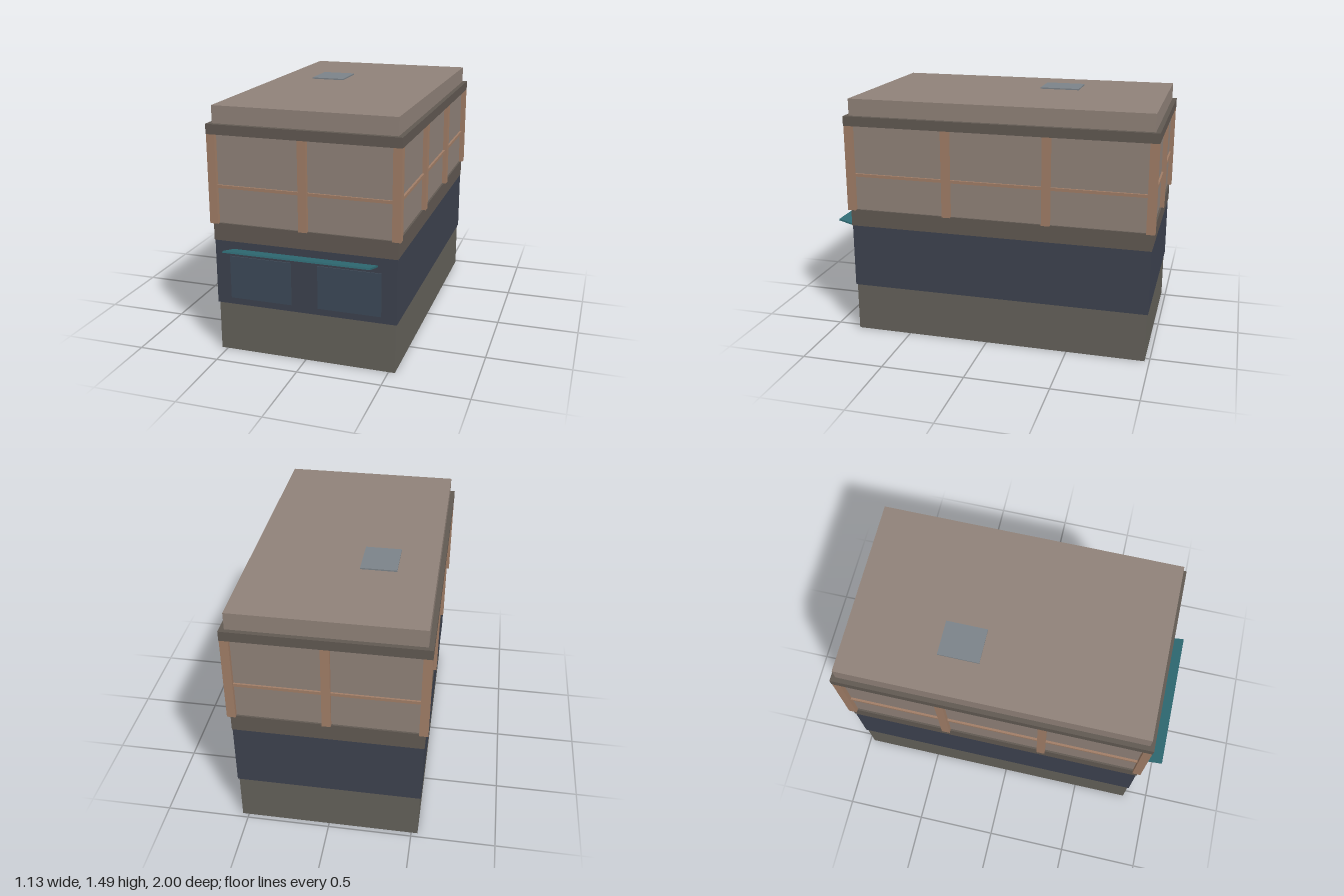
import * as THREE from 'three';

const CZ = -0.064; // depth centre of the building
const HX = 0.54, HZ = 0.908; // half width and half depth of the main walls

const mat = (color) => new THREE.MeshStandardMaterial({ color });
const mats = {
  base: mat(0x64615a),
  shop: mat(0x3d424f),
  trim: mat(0x615952),
  wall: mat(0x908279),
  timber: mat(0xa17e67),
  glass: mat(0x3d4a58),
  awning: mat(0x2f6b74),
  skylight: mat(0x7c8389),
};

function box(parent, name, material, size, pos) {
  const mesh = new THREE.Mesh(new THREE.BoxGeometry(...size), material);
  mesh.name = name;
  mesh.position.set(...pos);
  parent.add(mesh);
  return mesh;
}

export function createModel() {
  const model = new THREE.Group();
  model.name = 'building';

  // Stacked storeys: name, material, bottom, top, half width, half depth
  const layers = [
    ['base', mats.base, 0, 0.3, 0.538, HZ],
    ['shopFloor', mats.shop, 0.3, 0.692, 0.546, 0.915],
    ['belt', mats.trim, 0.692, 0.797, 0.549, 0.919],
    ['upperWall', mats.wall, 0.797, 1.32, 0.538, HZ],
    ['cornice', mats.trim, 1.32, 1.378, 0.566, 0.935],
    ['roof', mats.wall, 1.378, 1.48, 0.538, HZ],
  ];
  for (const [name, m, y0, y1, hx, hz] of layers) {
    box(model, name, m, [2 * hx, y1 - y0, 2 * hz], [0, (y0 + y1) / 2, CZ]);
  }

  // Timber frame: corner and intermediate posts
  const frame = new THREE.Group();
  frame.name = 'timberFrame';
  model.add(frame);
  const post = (x, z) => box(frame, 'post', mats.timber, [0.05, 0.525, 0.05], [x, 1.0585, z]);
  for (const side of [-1, 1]) {
    for (let i = 0; i < 4; i++) post(side * HX, CZ + HZ * (1 - (2 * i) / 3));
    post(0, CZ + side * HZ);
    // Horizontal rails between the posts
    box(frame, 'sideRail', mats.timber, [0.022, 0.018, 2 * HZ], [side * HX, 1.016, CZ]);
    box(frame, 'endRail', mats.timber, [2 * HX, 0.018, 0.022], [0, 1.016, CZ + side * HZ]);
  }

  // Shop windows
  for (const side of [-1, 1]) {
    box(model, 'shopWindow', mats.glass, [0.375, 0.26, 0.012], [side * 0.268, 0.471, 0.851]);
  }

  // Awning, rising outwards from the wall
  const awning = box(model, 'awning', mats.awning, [0.865, 0.01, 0.165], [0, 0.659, 0.919]);
  awning.rotation.x = -0.26;

  // Roof skylight
  box(model, 'skylight', mats.skylight, [0.21, 0.014, 0.245], [-0.207, 1.481, -0.302]);

  return model;
}
